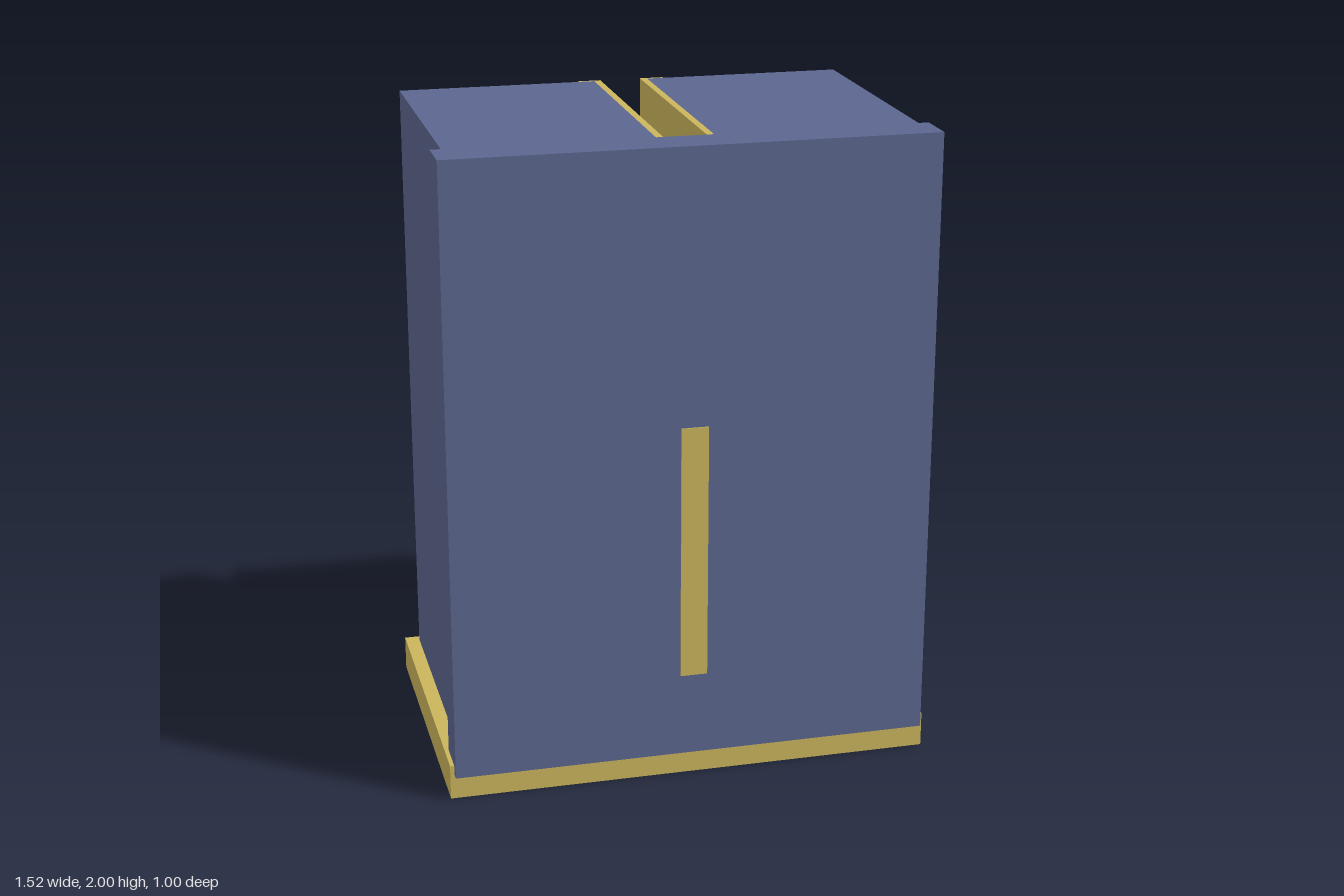
import * as THREE from 'three';

export function createModel() {
  const group = new THREE.Group();
  const blue = new THREE.MeshStandardMaterial({ color: 0x5c668f });
  blue.name = 'slate blue';
  const gold = new THREE.MeshStandardMaterial({ color: 0xcab45c });
  gold.name = 'brass gold';

  const add = (name, geometry, material) => {
    const mesh = new THREE.Mesh(geometry, material);
    mesh.name = name;
    group.add(mesh);
    return mesh;
  };

  // Box given by its two extreme corners
  const box = (name, material, [x0, y0, z0], [x1, y1, z1]) =>
    add(name, new THREE.BoxGeometry(x1 - x0, y1 - y0, z1 - z0), material)
      .position.set((x0 + x1) / 2, (y0 + y1) / 2, (z0 + z1) / 2);

  // Plinth, front door and its upright handle, which passes through the door
  box('base', gold, [-0.758, 0, -0.49], [0.758, 0.11, 0.47]);
  box('frontPanel', blue, [-0.745, 0.08, 0.363], [0.745, 2, 0.496]);
  box('frontHandle', gold, [-0.042, 0.345, 0.358], [0.042, 1.15, 0.5]);

  for (const s of [-1, 1]) {
    const side = s > 0 ? 'left' : 'right';
    // Mirrored box between distances a and b from the centre
    const pair = (name, material, a, b, y0, y1, z0, z1) =>
      box(side + name, material, [Math.min(s * a, s * b), y0, z0], [Math.max(s * a, s * b), y1, z1]);

    pair('Cabinet', blue, 0.087, 0.713, 0.1, 2, -0.465, 0.363);
    pair('BackHandle', gold, 0.36, 0.6, 1.215, 1.35, -0.5, -0.46);

    // L-shaped lining: inner wall of the slot with a flange on the back
    const outline = [[0.065, -0.363], [0.087, -0.363], [0.087, 0.465], [0.14, 0.465], [0.14, 0.475], [0.065, 0.475]];
    const shape = new THREE.Shape(outline.map(([x, y]) => new THREE.Vector2(s * x, y)));
    const lining = new THREE.ExtrudeGeometry(shape, { depth: 1.9, bevelEnabled: false });
    lining.rotateX(-Math.PI / 2);
    add(side + 'SlotLining', lining, gold).position.y = 0.1;
  }
  return group;
}
